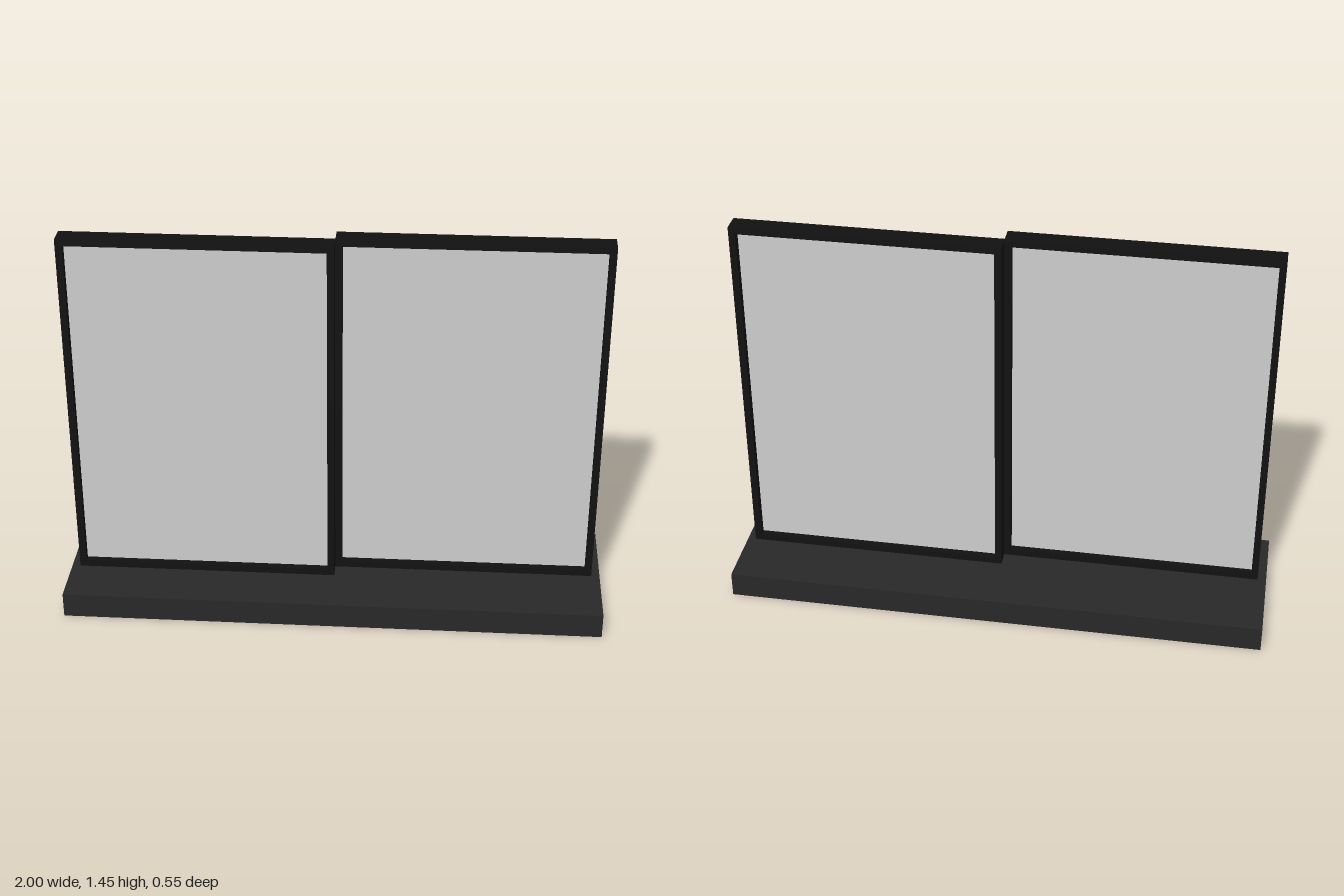
import * as THREE from 'three';

const baseMat = new THREE.MeshStandardMaterial({ color: 0x282828 });
const frameMat = new THREE.MeshStandardMaterial({ color: 0x111111 });
const paneMat = new THREE.MeshStandardMaterial({ color: 0xcccccc });

const BASE_H = 0.095, BOTTOM = 0.1, TOP = 1.45;
const WIDTH = 0.968, DEPTH = 0.073, BAR = 0.025;

function add(parent, name, geometry, material, x, y, z) {
  const mesh = new THREE.Mesh(geometry, material);
  mesh.name = name;
  mesh.position.set(x, y, z);
  parent.add(mesh);
  return mesh;
}

// One sliding panel: mitre-free frame, recessed pane and two small rollers
function createPanel(name) {
  const panel = new THREE.Group();
  panel.name = name;
  const h = TOP - BOTTOM, w = WIDTH;

  const outline = new THREE.Shape();
  outline.moveTo(-w / 2, 0).lineTo(w / 2, 0).lineTo(w / 2, h).lineTo(-w / 2, h).closePath();
  const opening = new THREE.Path();
  const ix = w / 2 - BAR;
  opening.moveTo(-ix, BAR).lineTo(-ix, h - BAR).lineTo(ix, h - BAR).lineTo(ix, BAR).closePath();
  outline.holes.push(opening);
  const frame = new THREE.ExtrudeGeometry(outline, { depth: DEPTH, bevelEnabled: false });
  add(panel, 'frame', frame, frameMat, 0, 0, -DEPTH / 2);

  const pane = new THREE.BoxGeometry(w - 2 * BAR, h - 2 * BAR, 0.02);
  add(panel, 'pane', pane, paneMat, 0, h / 2, 0);

  for (const side of [-1, 1]) {
    const roller = new THREE.CylinderGeometry(0.012, 0.012, 0.012, 16).rotateX(Math.PI / 2);
    add(panel, 'roller', roller, frameMat, side * 0.38, 0.007, 0);
  }
  return panel;
}

export function createModel() {
  const model = new THREE.Group();
  model.name = 'slidingWindow';

  // Sill slab
  add(model, 'base', new THREE.BoxGeometry(2, BASE_H, 0.55), baseMat, 0, BASE_H / 2, 0);

  // Two panels side by side on staggered tracks
  const right = createPanel('frontPanel');
  right.position.set(-WIDTH / 2, BOTTOM, 0.05);
  const left = createPanel('backPanel');
  left.position.set(WIDTH / 2, BOTTOM, -0.011);
  model.add(right, left);

  return model;
}
